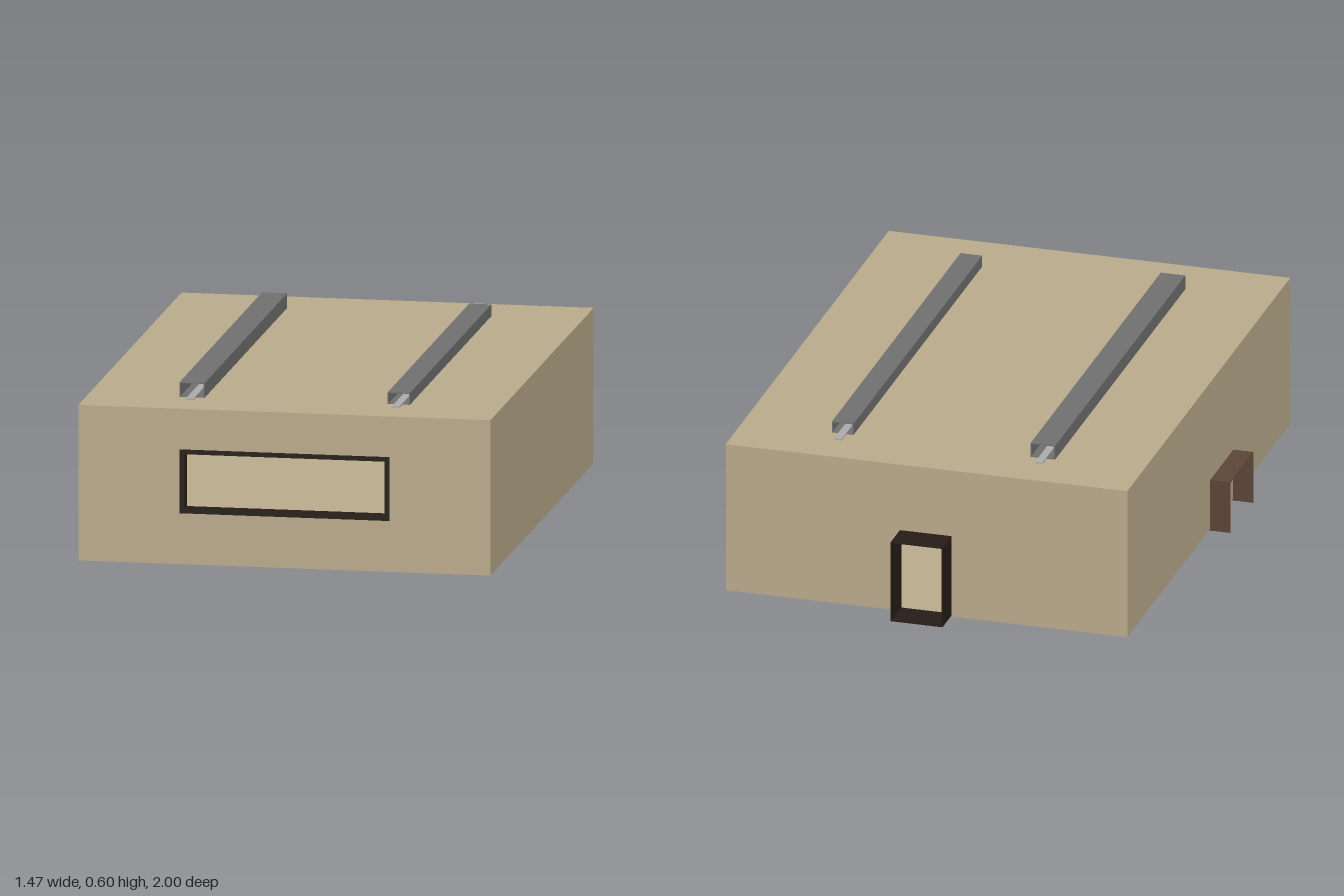
import * as THREE from 'three';

const paint = (color, side = THREE.FrontSide) =>
  new THREE.MeshStandardMaterial({ color, side });
const TAN = paint(0xbaab8c), BLACK = paint(0x261d17), BROWN = paint(0x5c4538);
const GREY = paint(0x707070), SILVER = paint(0xacacac);

function add(parent, name, geometry, material) {
  const mesh = new THREE.Mesh(geometry, material);
  mesh.name = name;
  parent.add(mesh);
  return mesh;
}

// Box given by its limits on each axis
function box(parent, name, [x0, x1], [y0, y1], [z0, z1], material) {
  const g = new THREE.BoxGeometry(x1 - x0, y1 - y0, z1 - z0);
  g.translate((x0 + x1) / 2, (y0 + y1) / 2, (z0 + z1) / 2);
  return add(parent, name, g, material);
}

function rect(Type, [x0, x1], [y0, y1]) {
  return new Type([[x0, y0], [x1, y0], [x1, y1], [x0, y1]].map(p => new THREE.Vector2(...p)));
}

// Rectangular plate with a rectangular hole, extruded between two z values
function ring(parent, name, x, y, hx, hy, [z0, z1], material) {
  const shape = rect(THREE.Shape, x, y);
  shape.holes.push(rect(THREE.Path, hx, hy));
  const g = new THREE.ExtrudeGeometry(shape, { depth: z1 - z0, bevelEnabled: false });
  g.translate(0, 0, z0);
  return add(parent, name, g, material);
}

// Hollow sleeve along z with thin walls
function sleeve(parent, name, [x0, x1], [y0, y1], z, t, material) {
  return ring(parent, name, [x0, x1], [y0, y1], [x0 + t, x1 - t], [y0 + t, y1 - t], z, material);
}

// Closing panel that shows only from inside; dir is the z direction it faces
function innerCap(parent, name, [x0, x1], [y0, y1], z, dir, material) {
  const g = new THREE.PlaneGeometry(x1 - x0, y1 - y0);
  if (dir < 0) g.rotateY(Math.PI);
  g.translate((x0 + x1) / 2, (y0 + y1) / 2, z);
  return add(parent, name, g, material);
}

export function createModel() {
  const model = new THREE.Group();
  model.name = 'container';
  const X = [-0.665, 0.73], Y = [0.022, 0.55], Z = [-0.893, 1], t = 0.008;

  // Hollow body with a front window and a rear opening
  const body = new THREE.Group();
  body.name = 'body';
  model.add(body);
  const innerZ = [Z[0] + t, Z[1] - t], innerY = [Y[0] + t, Y[1] - t];
  const winX = [-0.322, 0.388], winY = [0.195, 0.412];
  const ductX = [-0.055, 0.125], ductY = [0.027, 0.313];
  box(body, 'floor', X, [Y[0], innerY[0]], innerZ, TAN);
  box(body, 'roof', X, [innerY[1], Y[1]], innerZ, TAN);
  box(body, 'rightWall', [X[0], X[0] + t], innerY, innerZ, TAN);
  box(body, 'leftWall', [X[1] - t, X[1]], innerY, innerZ, TAN);
  ring(body, 'frontWall', X, Y, winX, winY, [innerZ[1], Z[1]], TAN);
  ring(body, 'backWall', X, Y, ductX, ductY, [Z[0], innerZ[0]], TAN);

  // Dark window frame set into the front
  sleeve(model, 'windowFrame', winX, winY, [0.955, 1.001], 0.016, BLACK);

  // Rear duct, open to the outside
  sleeve(model, 'rearDuct', ductX, ductY, [-1, innerZ[0]], 0.003, BLACK);
  innerCap(model, 'rearDuctCap', ductX, ductY, -0.999, 1, BLACK);

  // Side hood: top, two cheeks and an inner end, open outward and below
  const hood = new THREE.Group();
  hood.name = 'sideHood';
  model.add(hood);
  const hx = [-0.735, -0.56], hy = [0.015, 0.198], hz = [0.07, 0.34], w = 0.003;
  box(hood, 'hoodTop', hx, [hy[1] - w, hy[1]], hz, BROWN);
  box(hood, 'hoodBackCheek', hx, hy, [hz[0], hz[0] + w], BROWN);
  box(hood, 'hoodFrontCheek', hx, hy, [hz[1] - w, hz[1]], BROWN);
  box(hood, 'hoodInnerEnd', [hx[1] - w, hx[1]], hy, hz, BROWN);

  // Roof rails: hollow channels with a thin strip running through each
  const rails = [
    { x: [-0.358, -0.273], top: 0.6, z: [-0.705, 0.807] },
    { x: [0.345, 0.42], top: 0.59, z: [-0.695, 0.797] },
  ];
  for (const { x, top, z } of rails) {
    const rail = new THREE.Group();
    rail.name = 'roofRail';
    model.add(rail);
    const y = [0.55, top], mid = (x[0] + x[1]) / 2;
    sleeve(rail, 'railChannel', x, y, z, 0.003, GREY);
    innerCap(rail, 'railBackCap', x, y, z[0] + 0.001, 1, GREY);
    innerCap(rail, 'railFrontCap', x, y, z[1] - 0.001, -1, GREY);
    box(rail, 'railStrip', [mid - 0.013, mid + 0.013], [0.549, 0.555], [-0.752, 0.853], SILVER);
  }

  // Four round-ended runners under the floor
  for (const x of [-0.313, 0.38]) {
    for (const z of [-0.27, -0.713]) {
      const g = new THREE.CapsuleGeometry(0.012, 0.474, 4, 10);
      g.rotateZ(Math.PI / 2);
      g.translate(x, 0.012, z);
      add(model, 'runner', g, BROWN);
    }
  }
  return model;
}
